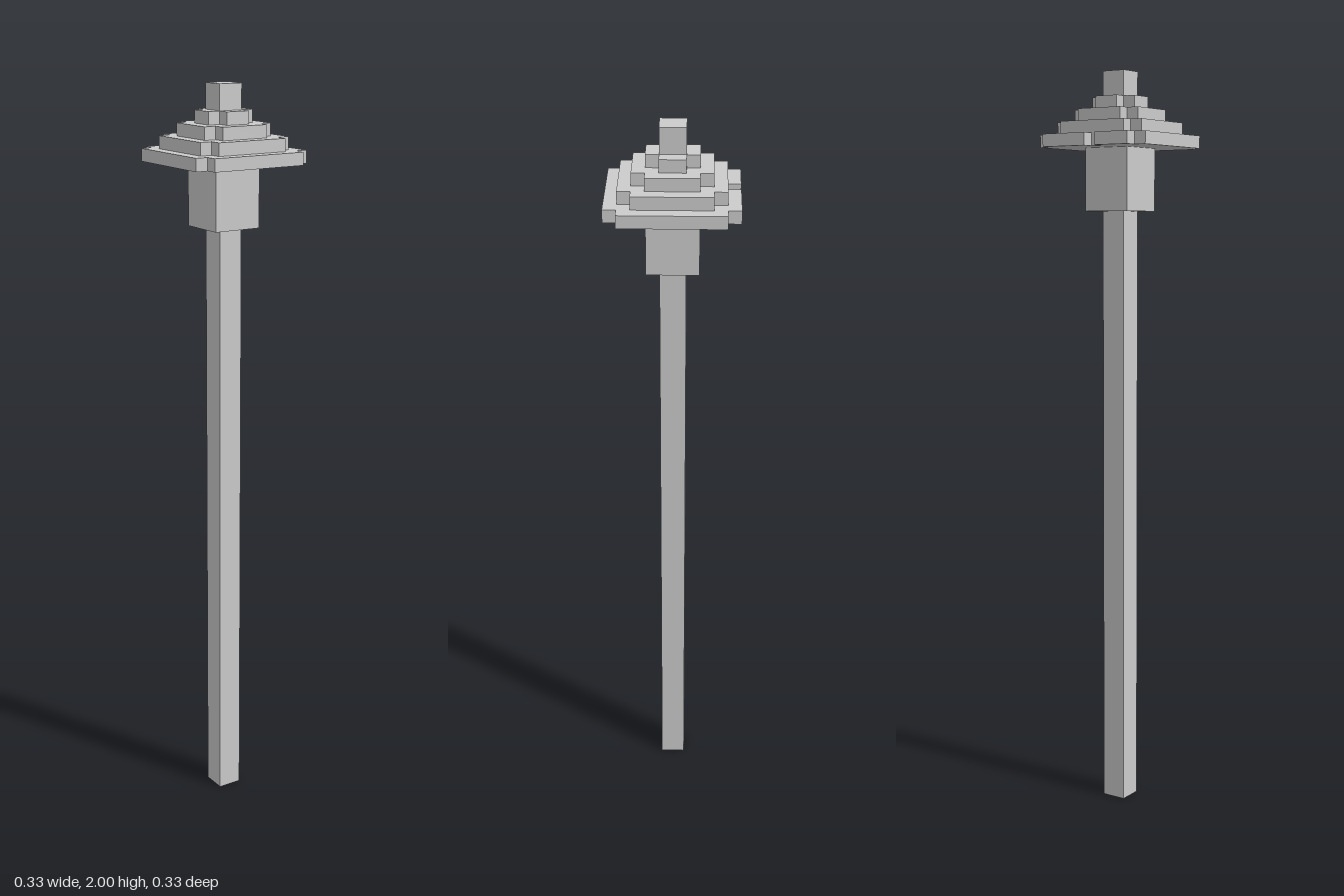
import * as THREE from 'three';

const U = 1 / 30; // one block

export function createModel() {
  const group = new THREE.Group();
  const material = new THREE.MeshStandardMaterial({ color: 0xcccccc, flatShading: true });

  const add = (name, geometry) => {
    const mesh = new THREE.Mesh(geometry, material);
    mesh.name = name;
    group.add(mesh);
    return mesh;
  };

  // Square column between two heights, all in blocks
  const column = (name, half, y0, y1) => {
    const g = new THREE.BoxGeometry(2 * half * U, (y1 - y0) * U, 2 * half * U);
    add(name, g).position.y = ((y0 + y1) / 2) * U;
  };

  // One-block-thick roof tier with notched corners, optionally a gap in the back edge
  const tier = (name, r, y, gap) => {
    const i = r - 1;
    const back = gap ? [[0, r], [0, i], [-1, i], [-1, r]] : [];
    const outline = [
      [-i, -r], [i, -r], [i, -i], [r, -i], [r, i], [i, i], [i, r],
      ...back,
      [-i, r], [-i, i], [-r, i], [-r, -i], [-i, -i],
    ];
    const shape = new THREE.Shape(outline.map(([x, z]) => new THREE.Vector2(x * U, z * U)));
    const g = new THREE.ExtrudeGeometry(shape, { depth: U, bevelEnabled: false });
    g.rotateX(-Math.PI / 2); // shape y becomes -z, depth becomes up
    add(name, g).position.y = y * U;
  };

  column('pole', 1, 0, 49);
  column('lantern', 2, 49, 54);

  // Stepped roof, narrowing upward
  for (let k = 0; k < 4; k++) tier('roofTier' + (k + 1), 5 - k, 54 + k, k === 0);

  column('finial', 1, 58, 60);
  return group;
}
